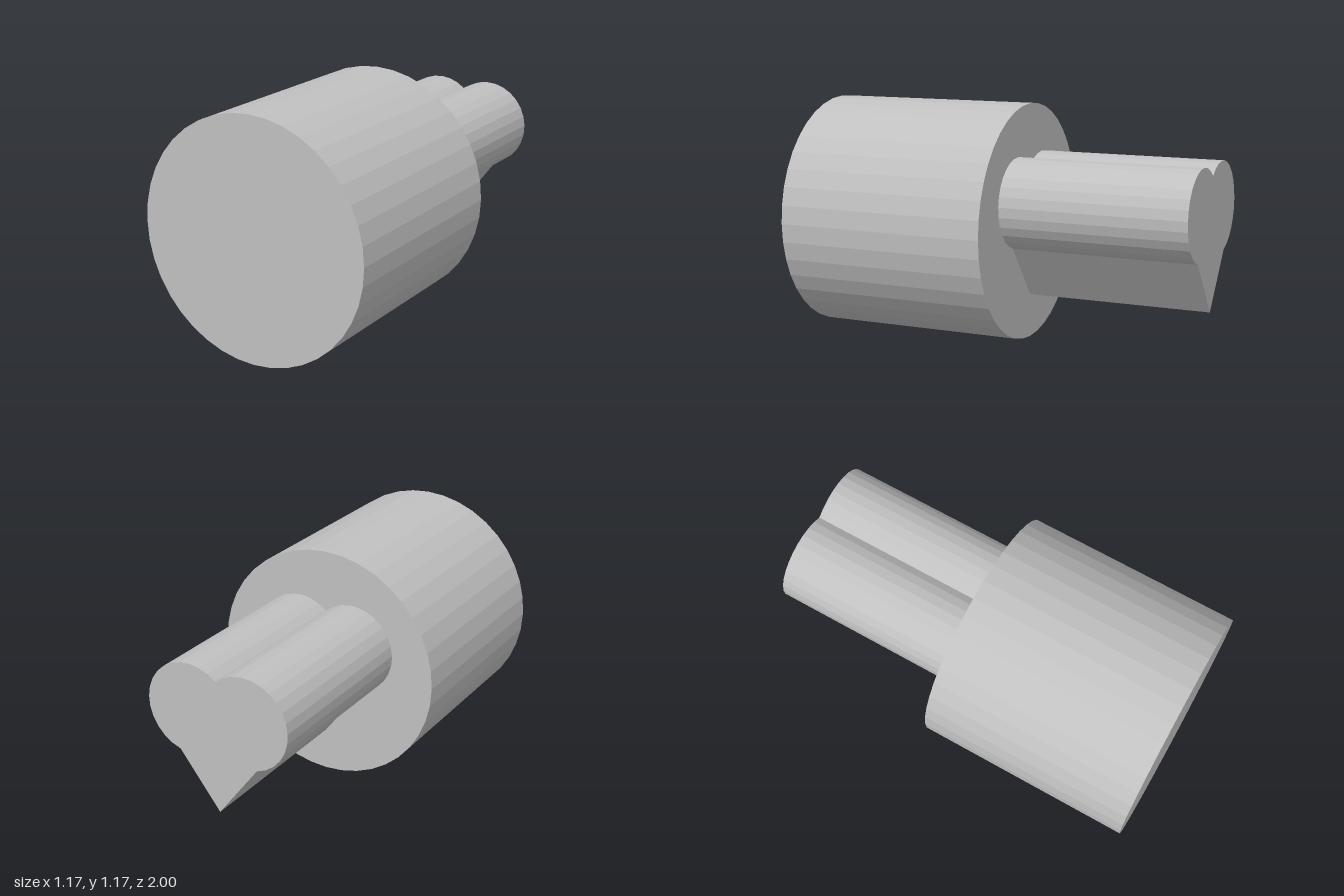
import * as THREE from 'three';

const BODY_RADIUS = 0.585;
const STEP_Z = -0.07; // where the wide body meets the heart-shaped shaft

// Wide faceted cylinder lying along z
function bodyGeometry() {
  const length = 1 - STEP_Z;
  const geometry = new THREE.CylinderGeometry(BODY_RADIUS, BODY_RADIUS, length, 40)
    .rotateX(Math.PI / 2)
    .translate(0, BODY_RADIUS, STEP_Z + length / 2)
    .toNonIndexed();
  geometry.computeVertexNormals(); // one normal per facet
  return geometry;
}

// Heart outline: two round lobes over a straight-sided point
function heartGeometry() {
  const cx = 0.146, cy = 0.698, r = 0.223, steps = 16;
  const cleft = Math.acos(-cx / r);
  const lower = Math.atan2(0.485 - cy, 0.205 - cx);
  const right = [];
  for (let i = 0; i <= steps; i++) {
    const a = lower + (cleft - lower) * (i / steps);
    right.push(new THREE.Vector2(cx + r * Math.cos(a), cy + r * Math.sin(a)));
  }
  right[steps].x = 0;
  const left = right.slice(0, steps).reverse().map((p) => new THREE.Vector2(-p.x, p.y));
  const outline = [new THREE.Vector2(0, 0.215), ...right, ...left];
  return new THREE.ExtrudeGeometry(new THREE.Shape(outline), {
    depth: STEP_Z + 1, bevelEnabled: false,
  }).translate(0, 0, -1);
}

export function createModel() {
  const grey = new THREE.MeshStandardMaterial({ color: 0xc0c0c0 });
  grey.name = 'light grey';

  const model = new THREE.Group();
  model.name = 'heartStamp';

  const body = new THREE.Mesh(bodyGeometry(), grey);
  body.name = 'handle';
  const heart = new THREE.Mesh(heartGeometry(), grey);
  heart.name = 'heartShaft';
  model.add(body, heart);
  return model;
}
